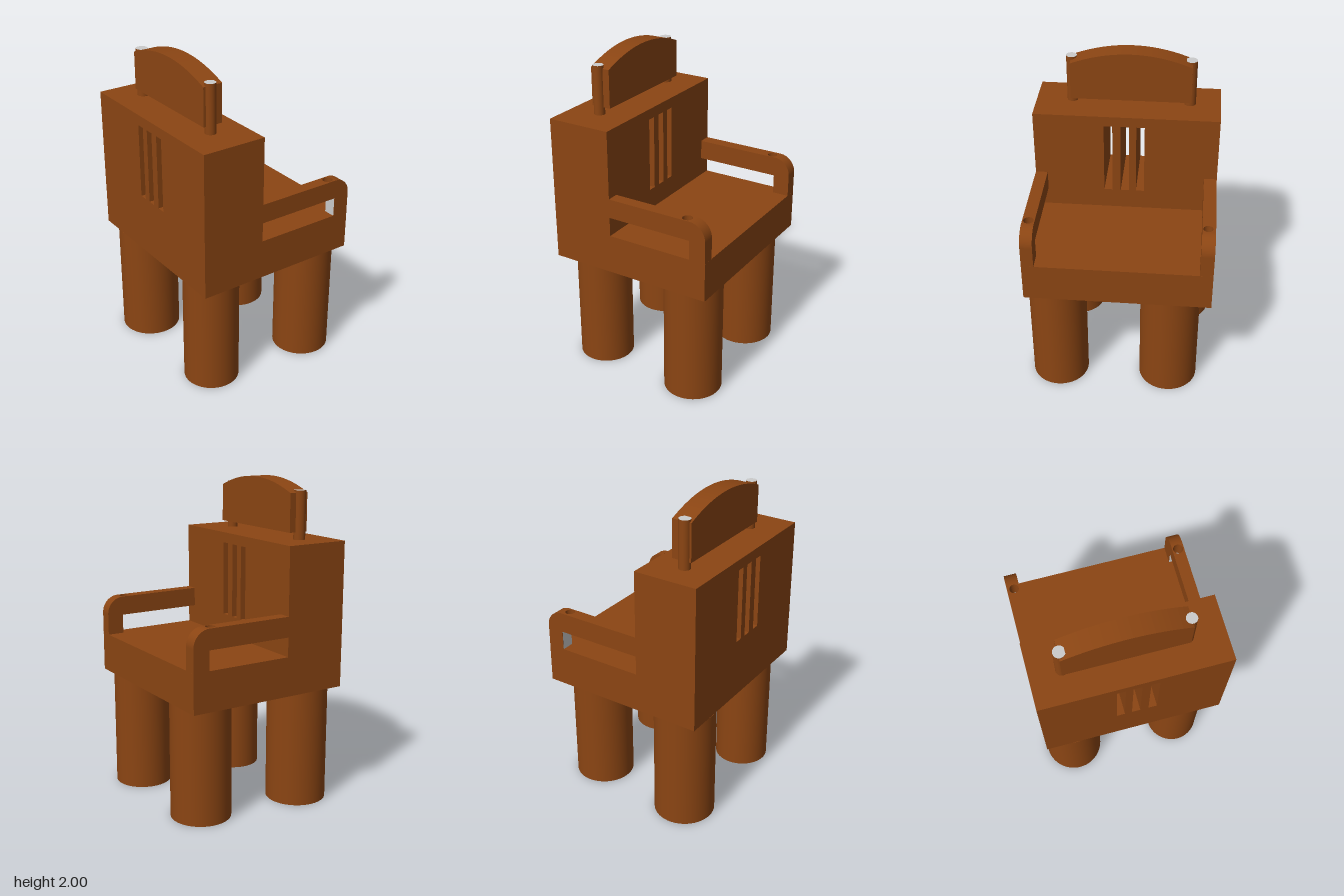
import * as THREE from 'three';

export function createModel() {
  const group = new THREE.Group();
  const wood = new THREE.MeshStandardMaterial({ color: 0x8b4513 });
  const grey = new THREE.MeshStandardMaterial({ color: 0xcccccc });

  const add = (name, geometry, material = wood, x = 0, y = 0, z = 0) => {
    const mesh = new THREE.Mesh(geometry, material);
    mesh.name = name;
    mesh.position.set(x, y, z);
    group.add(mesh);
    return mesh;
  };
  const rect = (x0, y0, x1, y1, Type = THREE.Shape) =>
    new Type([[x0, y0], [x1, y0], [x1, y1], [x0, y1]].map(p => new THREE.Vector2(...p)));
  const extrude = (shape, depth) =>
    new THREE.ExtrudeGeometry(shape, { depth, bevelEnabled: false, curveSegments: 24 });

  // Seat slab
  add('seat', new THREE.BoxGeometry(1.14, 0.245, 1.055), wood, 0, 0.8625, 0);

  // Thick backrest with three slots
  const back = rect(-0.57, 0.985, 0.57, 1.645);
  for (const [a, b] of [[-0.115, -0.064], [-0.02, 0.032], [0.083, 0.136]]) {
    back.holes.push(rect(a, 1.115, b, 1.58, THREE.Path));
  }
  add('backrest', extrude(back, 0.405), wood, 0, 0, 0.123);

  // Legs: x, z, radius
  for (const [x, z, r] of [
    [-0.378, 0.341, 0.189], [-0.317, -0.33, 0.186],
    [0.346, 0.337, 0.172], [0.388, -0.347, 0.18],
  ]) {
    add('leg', new THREE.CylinderGeometry(r, r, 0.74, 48), wood, x, 0.37, z);
  }

  // Armrests: pierced bar, rounded post and its inner face
  for (const [x0, x1, cx, r, top] of [
    [-0.57, -0.49, -0.525, 0.029, 1.23], [0.495, 0.57, 0.532, 0.031, 1.225],
  ]) {
    const width = x1 - x0;
    const bar = rect(x0, -0.123, x1, 0.422);
    bar.holes.push(new THREE.Path().absarc(cx, 0.39, r, 0, Math.PI * 2, true));
    const barMesh = add('armrestBar', extrude(bar, top - 1.105), wood, 0, 1.105, 0);
    barMesh.rotation.x = -Math.PI / 2;

    const post = new THREE.Shape();
    post.moveTo(0.422, 0.985);
    post.lineTo(0.527, 0.985);
    post.lineTo(0.527, top - 0.105);
    post.absarc(0.422, top - 0.105, 0.105, 0, Math.PI / 2, false);
    post.closePath();
    const postMesh = add('armrestPost', extrude(post, width), wood, x0, 0, 0);
    postMesh.rotation.y = Math.PI / 2;

    add('postInnerFace', new THREE.PlaneGeometry(width, 0.12), grey, (x0 + x1) / 2, 1.045, -0.42);
  }

  // Headrest poles with bare top ends
  for (const [x, r, top] of [[-0.38, 0.036, 1.94], [0.347, 0.033, 1.945]]) {
    const h = top - 1.645;
    const pole = new THREE.CylinderGeometry(r, r, h, 32);
    add('headrestPole', pole, [wood, grey, wood], x, 1.645 + h / 2, 0.332);
  }

  // Headrest panel with an arched top
  const panel = new THREE.Shape();
  panel.moveTo(-0.388, 1.69);
  panel.lineTo(0.35, 1.69);
  panel.lineTo(0.35, 1.925);
  panel.quadraticCurveTo(-0.019, 2.075, -0.388, 1.925);
  panel.closePath();
  add('headrest', extrude(panel, 0.125), wood, 0, 0, 0.255);

  return group;
}
